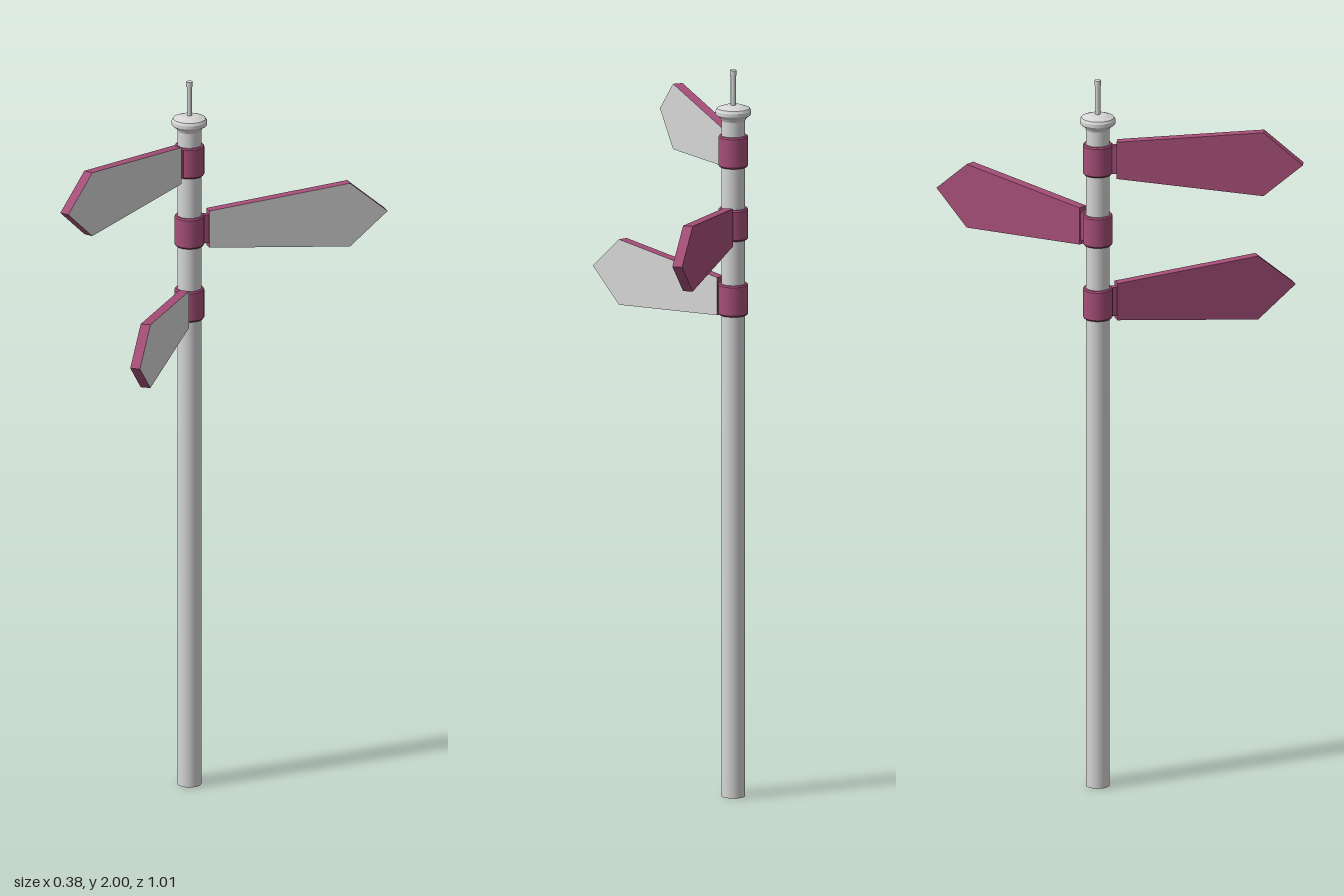
import * as THREE from 'three';

const grey = new THREE.MeshStandardMaterial({ name: 'light grey', color: 0xd6d6d6 });
const plum = new THREE.MeshStandardMaterial({ name: 'plum', color: 0xa54e77 });

function add(parent, name, geometry, material, y = 0) {
  const mesh = new THREE.Mesh(geometry, material);
  mesh.name = name;
  mesh.position.y = y;
  parent.add(mesh);
  return mesh;
}

// Turned part; every profile segment gets its own points, so edges stay sharp
function turned(parent, name, profile, material) {
  const group = new THREE.Group();
  group.name = name;
  for (let i = 0; i < profile.length - 1; i++) {
    const points = [profile[i], profile[i + 1]].map(([r, y]) => new THREE.Vector2(r, y));
    add(group, name + 'Section', new THREE.LatheGeometry(points, 32), material);
  }
  parent.add(group);
  return group;
}

// Pointed board along +x, with one pale face and plum elsewhere
function boardGeometry(paleFront) {
  const thickness = 0.027;
  const shape = new THREE.Shape([
    [0.052, -0.052], [0.448, -0.09], [0.554, 0], [0.448, 0.09], [0.052, 0.052],
  ].map(([x, y]) => new THREE.Vector2(x, y)));
  const geometry = new THREE.ExtrudeGeometry(shape, { depth: thickness, bevelEnabled: false });
  geometry.translate(0, 0, -thickness / 2);
  const [lids, sides] = geometry.groups.map((g) => ({ ...g }));
  const half = lids.count / 2;
  geometry.clearGroups();
  geometry.addGroup(0, half, paleFront ? 1 : 0);
  geometry.addGroup(half, half, paleFront ? 0 : 1);
  geometry.addGroup(sides.start, sides.count, 1);
  return geometry;
}

// Collar, bracket and board turned about the pole
function sign(parent, name, y, degrees, paleFront) {
  const group = new THREE.Group();
  group.name = name;
  group.position.y = y;
  group.rotation.y = THREE.MathUtils.degToRad(degrees);
  turned(group, 'collar', [
    [0.031, -0.043], [0.037, -0.043], [0.04, -0.039], [0.04, 0.039], [0.037, 0.043], [0.031, 0.043],
  ], plum);
  const bracket = add(group, 'bracket', new THREE.BoxGeometry(0.024, 0.08, 0.018), plum);
  bracket.position.x = 0.045;
  add(group, 'board', boardGeometry(paleFront), [grey, plum]);
  parent.add(group);
}

export function createModel() {
  const model = new THREE.Group();
  model.name = 'signpost';
  const post = new THREE.Group();
  post.name = 'post';
  post.position.set(-0.144, 0, -0.049);
  model.add(post);

  add(post, 'pole', new THREE.CylinderGeometry(0.032, 0.032, 1.875, 32), grey, 0.9375);

  // Flared cap and finial
  turned(post, 'cap', [
    [0.032, 1.862], [0.036, 1.87], [0.046, 1.877], [0.048, 1.88],
    [0.048, 1.889], [0.044, 1.896], [0.025, 1.903], [0, 1.905],
  ], grey);
  add(post, 'finialRod', new THREE.CylinderGeometry(0.007, 0.007, 0.09, 16), grey, 1.945);
  add(post, 'finialTip', new THREE.CylinderGeometry(0.009, 0.009, 0.014, 16), grey, 1.993);

  sign(post, 'upperSign', 1.778, -90, false);
  sign(post, 'middleSign', 1.578, 54.7, true);
  sign(post, 'lowerSign', 1.37, -67.9, false);
  return model;
}
